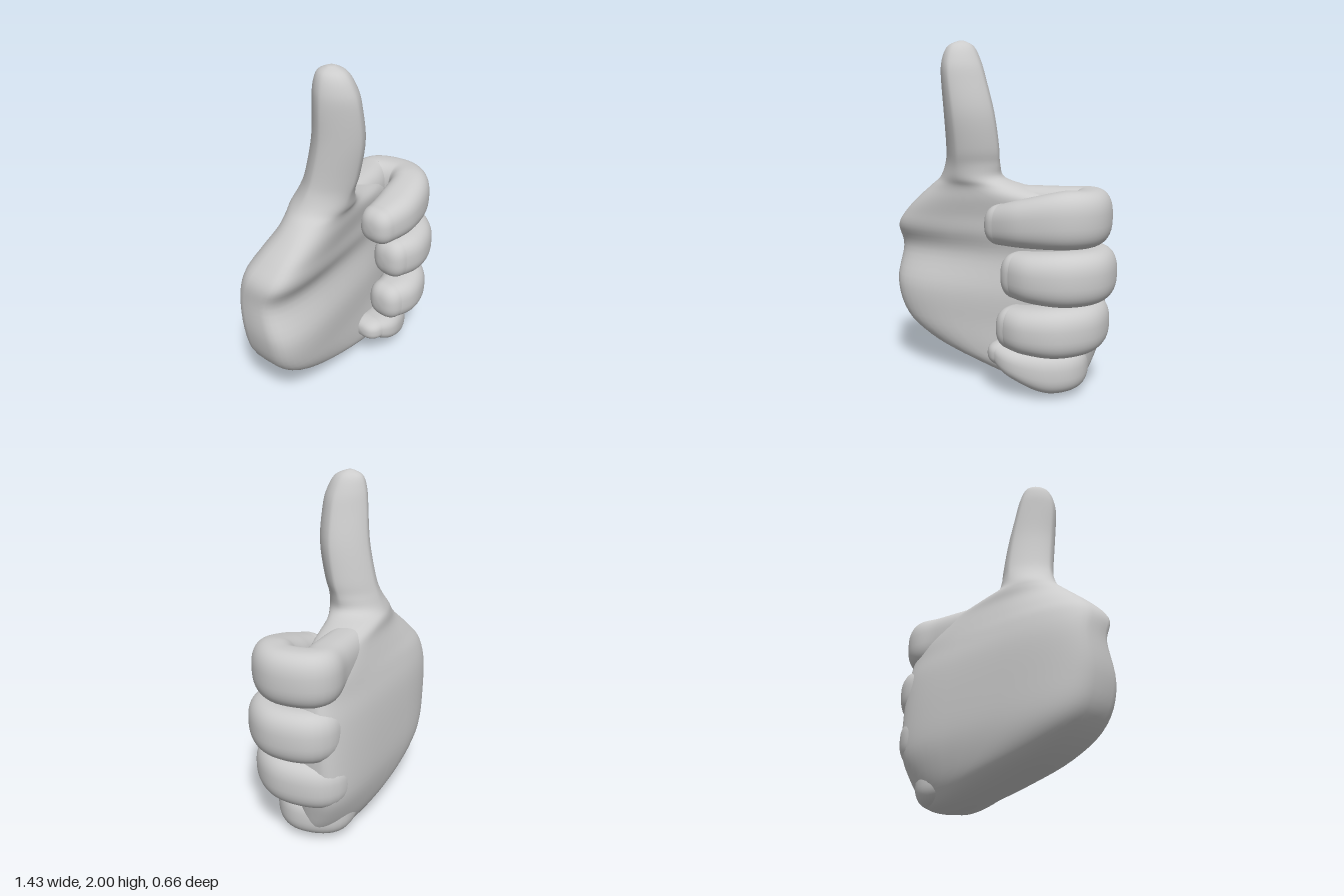
import * as THREE from 'three';

const SIDES = 48;
const material = new THREE.MeshStandardMaterial({ color: 0xcccccc });
const { lerp, smoothstep, clamp } = THREE.MathUtils;
const spow = (v, p) => Math.sign(v) * Math.pow(Math.abs(v), p);

// Catmull-Rom interpolation of whole rows of numbers
function sampleRows(rows, t) {
  const f = t * (rows.length - 1);
  const i = Math.min(Math.floor(f), rows.length - 2);
  const u = f - i, u2 = u * u, u3 = u2 * u;
  const [a, b, c, d] = [-1, 0, 1, 2].map(k => rows[clamp(i + k, 0, rows.length - 1)]);
  return b.map((_, k) => {
    const m0 = (c[k] - a[k]) / 2, m1 = (d[k] - b[k]) / 2;
    return (2 * u3 - 3 * u2 + 1) * b[k] + (u3 - 2 * u2 + u) * m0 + (3 * u2 - 2 * u3) * c[k] + (u3 - u2) * m1;
  });
}

// Ring of points from a rule taking superellipse coordinates in -1..1
function makeRing(n, rule) {
  return Array.from({ length: SIDES }, (_, j) => {
    const a = j / SIDES * Math.PI * 2;
    return rule(spow(Math.cos(a), 2 / n), spow(Math.sin(a), 2 / n));
  });
}

// Closed skin over a list of rings, with a fan at each end
function loft(rings, name) {
  const pos = [], idx = [];
  rings.forEach(r => r.forEach(p => pos.push(p.x, p.y, p.z)));
  for (let i = 0; i < rings.length - 1; i++) {
    for (let j = 0; j < SIDES; j++) {
      const a = i * SIDES + j, b = i * SIDES + (j + 1) % SIDES;
      idx.push(a, a + SIDES, b, b, a + SIDES, b + SIDES);
    }
  }
  [0, rings.length - 1].forEach((r, end) => {
    const c = new THREE.Vector3();
    rings[r].forEach(p => c.addScaledVector(p, 1 / SIDES));
    const ci = pos.length / 3;
    pos.push(c.x, c.y, c.z);
    for (let j = 0; j < SIDES; j++) {
      const a = r * SIDES + j, b = r * SIDES + (j + 1) % SIDES;
      if (end) idx.push(ci, b, a); else idx.push(ci, a, b);
    }
  });
  const g = new THREE.BufferGeometry();
  g.setAttribute('position', new THREE.Float32BufferAttribute(pos, 3));
  g.setIndex(idx);
  g.computeVertexNormals();
  const mesh = new THREE.Mesh(g, material);
  mesh.name = name;
  return mesh;
}

// Palm flowing into the thumb: horizontal sections from bottom to top
function palmAndThumb() {
  // y, xMin, xMax, back z at xMin and xMax, front z at xMin and xMax
  const palm = [
    [0, 0.24, 0.36, -0.12, -0.11, -0.04, -0.04],
    [0.03, 0.06, 0.46, -0.2, -0.21, 0.04, 0.02],
    [0.1, -0.2, 0.51, -0.25, -0.27, 0.12, 0.04],
    [0.2, -0.47, 0.54, -0.26, -0.32, 0.18, 0.03],
    [0.35, -0.65, 0.57, -0.26, -0.355, 0.23, 0],
    [0.55, -0.715, 0.58, -0.25, -0.35, 0.24, 0],
    [0.76, -0.715, 0.58, -0.24, -0.325, 0.16, 0],
    [0.9, -0.705, 0.56, -0.21, -0.295, 0.22, 0],
    [1, -0.63, 0.53, -0.17, -0.28, 0.23, 0],
    [1.1, -0.52, 0.4, -0.14, -0.25, 0.23, 0.04],
    [1.17, -0.44, 0.15, -0.14, -0.21, 0.21, 0.11],
  ];
  // y, xMin, xMax, back z, front z
  const thumb = [
    [1.22, -0.39, 0.02, -0.15, 0.185],
    [1.3, -0.35, 0.01, -0.125, 0.2],
    [1.4, -0.325, 0.02, -0.1, 0.225],
    [1.6, -0.31, 0.01, -0.06, 0.26],
    [1.8, -0.315, -0.04, -0.03, 0.26],
    [1.9, -0.305, -0.08, -0.01, 0.235],
    [1.97, -0.275, -0.125, 0.02, 0.19],
    [2, -0.22, -0.18, 0.08, 0.12],
  ].map(([y, x0, x1, b, f]) => [y, x0, x1, b, b, f, f]);
  const rows = [...palm, ...thumb];
  const steps = (rows.length - 1) * 5;
  const rings = Array.from({ length: steps + 1 }, (_, i) => {
    const [y, x0, x1, b0, b1, f0, f1] = sampleRows(rows, i / steps);
    // boxy palm, diamond-shaped thumb, round ends
    const n = 2 + 1.4 * smoothstep(y, 0, 0.35) - 1.88 * smoothstep(y, 0.9, 1.35) + 0.25 * smoothstep(y, 1.75, 2);
    return makeRing(n, (c, s) => {
      const u = (1 + c) / 2, v = (1 + s) / 2;
      return new THREE.Vector3(lerp(x0, x1, u), y, lerp(lerp(b0, b1, u), lerp(f0, f1, u), v));
    });
  });
  return loft(rings, 'palmAndThumb');
}

// Curled finger: rounded section swept along a hook in the horizontal plane
function finger({ name, tip, max, back, front, w, yTip, hTip, yKnuckle, hKnuckle, root, hRoot }) {
  const yMid = (yTip + yKnuckle) / 2, hMid = (hTip + hKnuckle) / 2;
  // x, y, z, half thickness, half height
  const rows = [
    [max - root, yKnuckle, back + 0.12 + root * 0.14, w, hRoot],
    [max - 0.34, yKnuckle, back + w + 0.025, w, (hKnuckle + hRoot) / 2],
    [max - 0.18, yKnuckle, back + w, w, hKnuckle],
    [max - w, yKnuckle, (back + front) / 2 - 0.01, w, hKnuckle],
    [max - w - 0.08, yKnuckle, front - w - 0.06, w * 1.05, hKnuckle],
    [(max + tip) / 2 - 0.07, yMid, front - w * 1.1, w * 1.1, hMid],
    [tip + 0.09, yTip, front - w - 0.015, w * 0.92, hTip],
  ];
  const sweepRing = (c, t, hw, hh) => makeRing(2.6, (s, h) =>
    new THREE.Vector3(c.x + t.z * s * hw, c.y - h * hh, c.z - t.x * s * hw));
  const rings = [];
  const steps = 60;
  let centre, dir, row;
  for (let i = 0; i <= steps; i++) {
    const k = i / steps;
    row = sampleRows(rows, k);
    const p = sampleRows(rows, Math.max(0, k - 0.01)), q = sampleRows(rows, Math.min(1, k + 0.01));
    centre = new THREE.Vector3(row[0], row[1], row[2]);
    dir = new THREE.Vector3(q[0] - p[0], 0, q[2] - p[2]).normalize();
    rings.push(sweepRing(centre, dir, row[3], row[4]));
  }
  // rounded fingertip
  for (let k = 1; k <= 9; k++) {
    const a = k / 9.2 * Math.PI / 2;
    const s = Math.pow(Math.cos(a), 0.7);
    const c = centre.clone().addScaledVector(dir, 0.09 * Math.sin(a));
    rings.push(sweepRing(c, dir, row[3] * s, row[4] * s));
  }
  return loft(rings, name);
}

export function createModel() {
  const group = new THREE.Group();
  group.name = 'thumbsUpHand';
  group.add(palmAndThumb());
  [
    { name: 'indexFinger', tip: 0.04, max: 0.68, back: -0.275, front: 0.31, w: 0.122, yTip: 0.985, hTip: 0.115, yKnuckle: 1.03, hKnuckle: 0.157, root: 0.75, hRoot: 0.145 },
    { name: 'middleFinger', tip: 0.16, max: 0.71, back: -0.285, front: 0.33, w: 0.125, yTip: 0.715, hTip: 0.13, yKnuckle: 0.715, hKnuckle: 0.15, root: 0.45, hRoot: 0.12 },
    { name: 'ringFinger', tip: 0.13, max: 0.66, back: -0.31, front: 0.33, w: 0.125, yTip: 0.412, hTip: 0.122, yKnuckle: 0.413, hKnuckle: 0.142, root: 0.42, hRoot: 0.11 },
    { name: 'littleFinger', tip: 0.03, max: 0.55, back: -0.27, front: 0.26, w: 0.112, yTip: 0.228, hTip: 0.07, yKnuckle: 0.155, hKnuckle: 0.125, root: 0.38, hRoot: 0.07 },
  ].forEach(f => group.add(finger(f)));
  return group;
}
